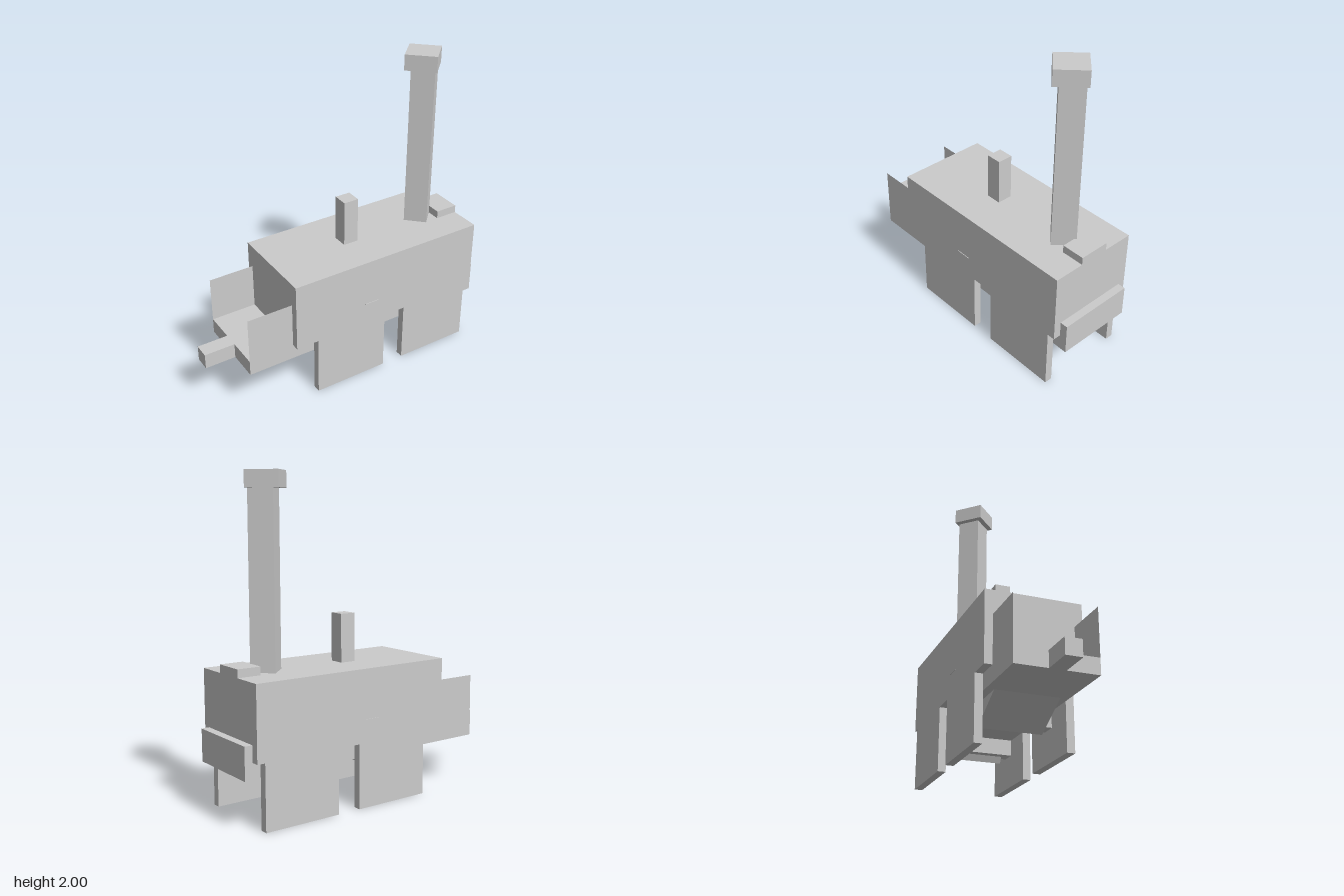
import * as THREE from 'three';

const mat = new THREE.MeshStandardMaterial({ color: 0xcccccc, flatShading: true });
const thinMat = new THREE.MeshStandardMaterial({ color: 0xcccccc, flatShading: true, side: THREE.DoubleSide });

export function createModel() {
  const model = new THREE.Group();
  model.name = 'blockLocomotive';

  const add = (name, geometry, material = mat) => {
    const mesh = new THREE.Mesh(geometry, material);
    mesh.name = name;
    model.add(mesh);
    return mesh;
  };
  // Box from its x and y limits, centred on z = 0
  const box = (name, x0, x1, y0, y1, halfZ) =>
    add(name, new THREE.BoxGeometry(x1 - x0, y1 - y0, 2 * halfZ))
      .position.set((x0 + x1) / 2, (y0 + y1) / 2, 0);
  // Outline in x and y, extruded from z0 to z1
  const slab = (name, points, z0, z1) => {
    const shape = new THREE.Shape(points.map(([x, y]) => new THREE.Vector2(x, y)));
    add(name, new THREE.ExtrudeGeometry(shape, { depth: z1 - z0, bevelEnabled: false }))
      .position.z = z0;
  };
  // Square column turned by 45 degrees
  const diamond = (name, x, y0, y1, r) =>
    add(name, new THREE.CylinderGeometry(r, r, y1 - y0, 4)).position.set(x, (y0 + y1) / 2, 0);

  // Body, chassis and end fittings
  box('body', -0.45, 0.9, 0.4, 0.85, 0.25);
  box('chassis', -0.75, 0.9, 0.3, 0.4, 0.25);
  box('bumper', 0.9, 0.95, 0.3, 0.5, 0.25);
  box('rearCoupling', -0.95, -0.75, 0.3, 0.4, 0.05);

  // Side plates with the square wheels cut in one outline
  const sideOutline = [
    [-0.45, 0.85], [-0.45, 0.4], [-0.3, 0.4], [-0.3, 0], [0.2, 0], [0.2, 0.4],
    [0.35, 0.4], [0.35, 0], [0.85, 0], [0.85, 0.4], [0.9, 0.4], [0.9, 0.85],
  ];
  slab('leftSidePlate', sideOutline, 0.25, 0.3);
  slab('rightSidePlate', sideOutline, -0.3, -0.25);

  // Thin walls beside the rear platform
  for (const s of [-1, 1]) {
    add(s > 0 ? 'leftPlatformWall' : 'rightPlatformWall', new THREE.PlaneGeometry(0.3, 0.4), thinMat)
      .position.set(-0.6, 0.5, s * 0.25);
  }

  // Axles and the slanted blocks under the chassis, mirrored about the wheel gap
  const mid = 0.275;
  for (const s of [-1, 1]) {
    const end = s > 0 ? 'front' : 'rear';
    const axleX = mid + s * 0.325;
    box(end + 'Axle', axleX - 0.05, axleX + 0.05, 0.2, 0.3, 0.25);
    slab(end + 'SlantedBlock',
      [[0.635, 0.31], [0.345, 0.16], [0.27, 0.31]].map(([x, y]) => [mid + s * x, y]), -0.2, 0.2);
  }

  // Chimney, post and headlamp on the roof
  diamond('chimney', 0.655, 0.85, 1.9, 0.105);
  diamond('chimneyCap', 0.64, 1.9, 2, 0.14);
  box('roofPost', 0.05, 0.15, 0.85, 1.15, 0.05);
  box('headlamp', 0.75, 0.9, 0.85, 0.9, 0.1);

  // Narrow cross bar just showing through both sides
  box('crossBar', 0.05, 0.15, 0.54, 0.545, 0.304);

  return model;
}
